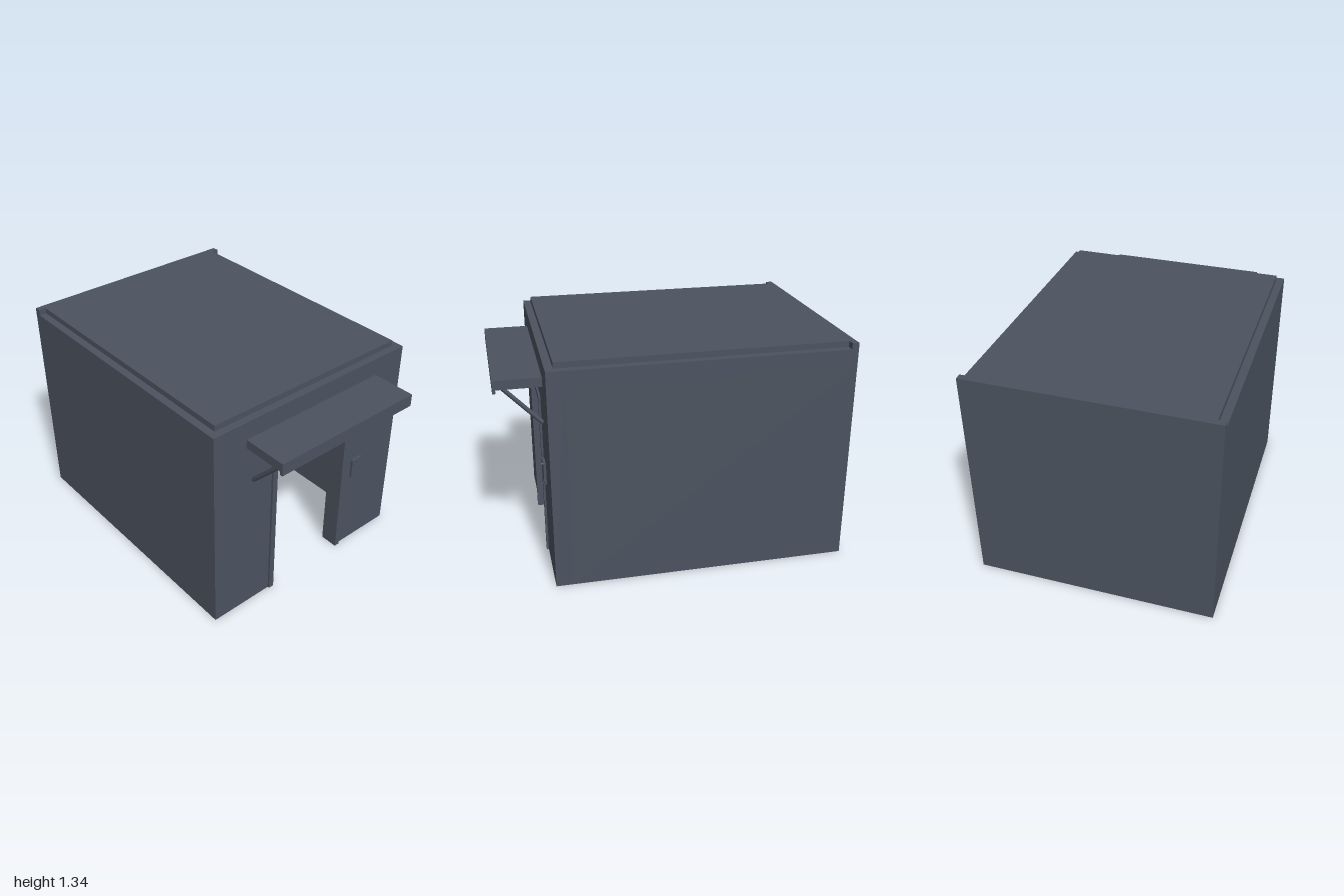
import * as THREE from 'three';

const wallGrey = new THREE.MeshStandardMaterial({ name: 'slateGrey', color: 0x4b5360 });
const doorBlue = new THREE.MeshStandardMaterial({ name: 'doorIndigo', color: 0x343860 });

const HALF = 0.71, BACK = -1, FRONT = 0.73, WALL = 0.1, TOP = 1.3;

// Box given by its limits on each axis
function box(parent, name, [x0, x1], [y0, y1], [z0, z1], material = wallGrey) {
  const mesh = new THREE.Mesh(new THREE.BoxGeometry(x1 - x0, y1 - y0, z1 - z0), material);
  mesh.position.set((x0 + x1) / 2, (y0 + y1) / 2, (z0 + z1) / 2);
  mesh.name = name;
  parent.add(mesh);
  return mesh;
}

// Extrusion of an outline in the x-y plane, from z0 to z1
function plate(parent, name, points, z0, z1) {
  const shape = new THREE.Shape(points.map(([x, y]) => new THREE.Vector2(x, y)));
  const geometry = new THREE.ExtrudeGeometry(shape, { depth: z1 - z0, bevelEnabled: false });
  const mesh = new THREE.Mesh(geometry, wallGrey);
  mesh.position.z = z0;
  mesh.name = name;
  parent.add(mesh);
}

// Upside-down U around a doorway
const archOutline = (outer, top, inner, innerTop) => [
  [-outer, 0], [-inner, 0], [-inner, innerTop], [inner, innerTop],
  [inner, 0], [outer, 0], [outer, top], [-outer, top],
];

// Cylinder between two points
function rod(parent, name, a, b, radius, sides) {
  const axis = b.clone().sub(a);
  const mesh = new THREE.Mesh(new THREE.CylinderGeometry(radius, radius, axis.length(), sides), wallGrey);
  mesh.position.copy(a).add(b).multiplyScalar(0.5);
  mesh.quaternion.setFromUnitVectors(new THREE.Vector3(0, 1, 0), axis.normalize());
  mesh.name = name;
  parent.add(mesh);
}

export function createModel() {
  const model = new THREE.Group();
  model.name = 'entranceHut';

  // Hollow shell without a floor
  const shell = new THREE.Group();
  shell.name = 'shell';
  model.add(shell);
  const inner = HALF - WALL, ceiling = TOP - WALL;
  box(shell, 'leftWall', [inner, HALF], [0, ceiling], [BACK, FRONT - WALL]);
  box(shell, 'rightWall', [-HALF, -inner], [0, ceiling], [BACK, FRONT - WALL]);
  box(shell, 'backWall', [-inner, inner], [0, ceiling], [BACK, BACK + WALL]);
  box(shell, 'ceiling', [-HALF, HALF], [ceiling, TOP], [BACK, FRONT - WALL]);
  plate(shell, 'frontWall', archOutline(HALF, TOP, 0.3, 1.01), FRONT - WALL, FRONT);

  // Raised roof panel and the lip along the back
  box(model, 'roofPanel', [-0.665, 0.665], [TOP, 1.335], [-0.96, 0.685]);
  box(model, 'roofBackLip', [-HALF, HALF], [TOP, 1.335], [BACK, -0.96]);

  // Door frame lining the opening, with the door swung inwards
  plate(model, 'doorFrame', archOutline(0.302, 1.013, 0.268, 0.982), FRONT - WALL, 0.742);
  box(model, 'openDoor', [-0.3, -0.277], [0.01, 0.975], [0.105, 0.625], doorBlue);

  // Canopy with a front lip and diagonal struts
  const canopy = new THREE.Group();
  canopy.name = 'canopy';
  model.add(canopy);
  box(canopy, 'canopySlab', [-0.49, 0.49], [1.138, 1.192], [FRONT, 1]);
  box(canopy, 'canopyLip', [-0.49, 0.49], [1.117, 1.138], [0.982, 1]);
  for (const side of [-1, 1]) {
    rod(canopy, side > 0 ? 'leftStrut' : 'rightStrut',
      new THREE.Vector3(side * 0.443, 0.91, 0.735),
      new THREE.Vector3(side * 0.443, 1.138, 0.953), 0.013, 8);
  }

  // Lamp over the door
  box(model, 'lampHousing', [-0.078, 0.078], [1.053, 1.105], [FRONT, 0.785]);
  box(model, 'lampLens', [-0.063, 0.063], [1.04, 1.053], [0.742, 0.778]);

  // Entry keypad with a small indicator
  box(model, 'keypad', [0.353, 0.432], [0.515, 0.645], [FRONT, 0.745]);
  rod(model, 'keypadIndicator', new THREE.Vector3(0.392, 0.628, 0.74),
    new THREE.Vector3(0.392, 0.628, 0.752), 0.008, 8);

  return model;
}
